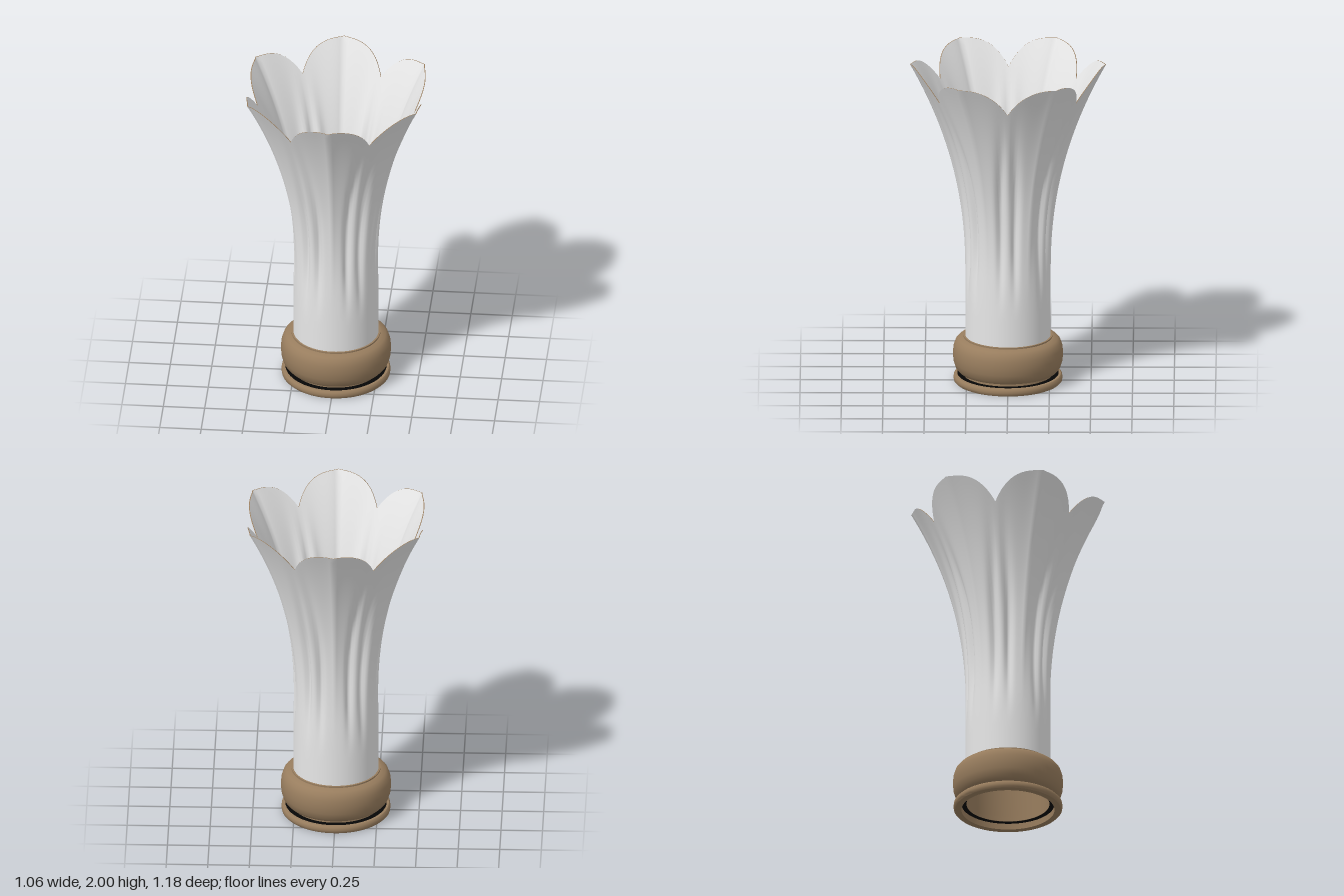
import * as THREE from 'three';
import { toCreasedNormals } from 'three/addons/utils/BufferGeometryUtils.js';

const COLS = 144, ROWS = 44, BOTTOM = 0.28, WALL = 0.005;
const smooth = THREE.MathUtils.smoothstep;

// Degrees away from the middle of the nearest of six petals, -30..30
const petalAngle = (i) => (((i * 360) / COLS + 30) % 60) - 30;

// Height of the scalloped rim
const rimHeight = (deg) => 2 - 0.17 * Math.pow(Math.abs(deg) / 30, 2.7);

// Flaring radius: each petal is folded along its middle and has a groove on either side
function radius(deg, y) {
  const d = Math.abs(deg);
  const flare = 0.257 + 0.333 * Math.pow(Math.max(0, (y - 0.7) / 1.3), 2.16);
  const fold = 0.055 * smooth(y, 0.5, 1.3) * (1 - Math.exp(-d / 6));
  const fade = smooth(y, 0.45, 1.1) * (1 - smooth(y, 1.15, 1.95));
  const middle = 20 + 5 * smooth(y, 1.1, 1.8);
  const groove = 0.034 * fade * Math.exp(-Math.pow((d - middle) / 4.5, 2));
  return flare * (1 - fold) - groove;
}

function wallPoint(i, v, offset) {
  const deg = petalAngle(i);
  const y = BOTTOM + (rimHeight(deg) - BOTTOM) * v;
  const r = radius(deg, y) - offset;
  const a = (i / COLS) * Math.PI * 2;
  return [r * Math.sin(a), y, r * Math.cos(a)];
}

// Closed band of quads running round the vase; rows go from first to last
function band(rows, point, inward = false) {
  const pos = [], index = [];
  for (let j = 0; j <= rows; j++)
    for (let i = 0; i < COLS; i++) pos.push(...point(i, j / rows));
  for (let j = 0; j < rows; j++)
    for (let i = 0; i < COLS; i++) {
      const n = (i + 1) % COLS;
      const a = j * COLS + i, b = j * COLS + n, c = a + COLS, d = b + COLS;
      if (inward) index.push(a, d, b, a, c, d);
      else index.push(a, b, d, a, d, c);
    }
  const g = new THREE.BufferGeometry();
  g.setAttribute('position', new THREE.Float32BufferAttribute(pos, 3));
  g.setIndex(index);
  g.computeVertexNormals();
  return g;
}

function lathe(points) {
  const profile = points.map(([x, y]) => new THREE.Vector2(x, y));
  return toCreasedNormals(new THREE.LatheGeometry(profile, 72), 0.7);
}

export function createModel() {
  const white = new THREE.MeshStandardMaterial({ color: 0xeeeeee });
  white.name = 'white porcelain';
  const tan = new THREE.MeshStandardMaterial({ color: 0x987d5e });
  tan.name = 'tan';
  const black = new THREE.MeshStandardMaterial({ color: 0x060606, side: THREE.DoubleSide });
  black.name = 'black';

  const model = new THREE.Group();
  model.name = 'flowerVase';
  const add = (name, geometry, material) => {
    const mesh = new THREE.Mesh(geometry, material);
    mesh.name = name;
    model.add(mesh);
    return mesh;
  };

  // Petal walls and the thin trim along the rim
  add('outerPetals', band(ROWS, (i, v) => wallPoint(i, v, 0)), white);
  add('innerPetals', band(ROWS, (i, v) => wallPoint(i, v, WALL), true), white);
  add('rimTrim', band(1, (i, t) => wallPoint(i, 1, t * WALL)), tan);

  // Rounded hollow collar holding the petals
  add('collar', lathe([
    [0.25, 0.06], [0.275, 0.064], [0.298, 0.07], [0.316, 0.092], [0.328, 0.13],
    [0.332, 0.175], [0.328, 0.217], [0.317, 0.25], [0.299, 0.27], [0.275, 0.279],
    [0.268, 0.281], [0.268, 0.29], [0.25, 0.29], [0.25, 0.06],
  ]), tan);

  // Neck between collar and foot
  add('neck', lathe([[0.273, 0.04], [0.273, 0.07], [0.25, 0.07], [0.25, 0.04], [0.273, 0.04]]), tan);

  // Foot ring
  add('foot', lathe([
    [0.28, 0], [0.318, 0], [0.326, 0.008], [0.328, 0.022], [0.326, 0.038],
    [0.318, 0.046], [0.28, 0.046], [0.28, 0],
  ]), tan);

  // Dark ring in the gap between foot and collar
  const gap = add('darkGapRing', new THREE.RingGeometry(0.25, 0.305, 72), black);
  gap.rotation.x = -Math.PI / 2;
  gap.position.y = 0.048;
  const gapUnder = add('darkGapUnderside', new THREE.RingGeometry(0.25, 0.28, 72), black);
  gapUnder.rotation.x = -Math.PI / 2;
  gapUnder.position.y = 0.038;

  // Dark floor across the top of the collar, with an oval tan disc on it
  const floor = add('darkFloor', new THREE.CircleGeometry(0.252, 72), black);
  floor.rotation.x = -Math.PI / 2;
  floor.position.y = 0.275;
  const disc = add('floorDisc', new THREE.CircleGeometry(1, 72), tan);
  disc.rotation.x = -Math.PI / 2;
  disc.scale.set(0.237, 0.203, 1);
  disc.position.y = 0.279;

  return model;
}
